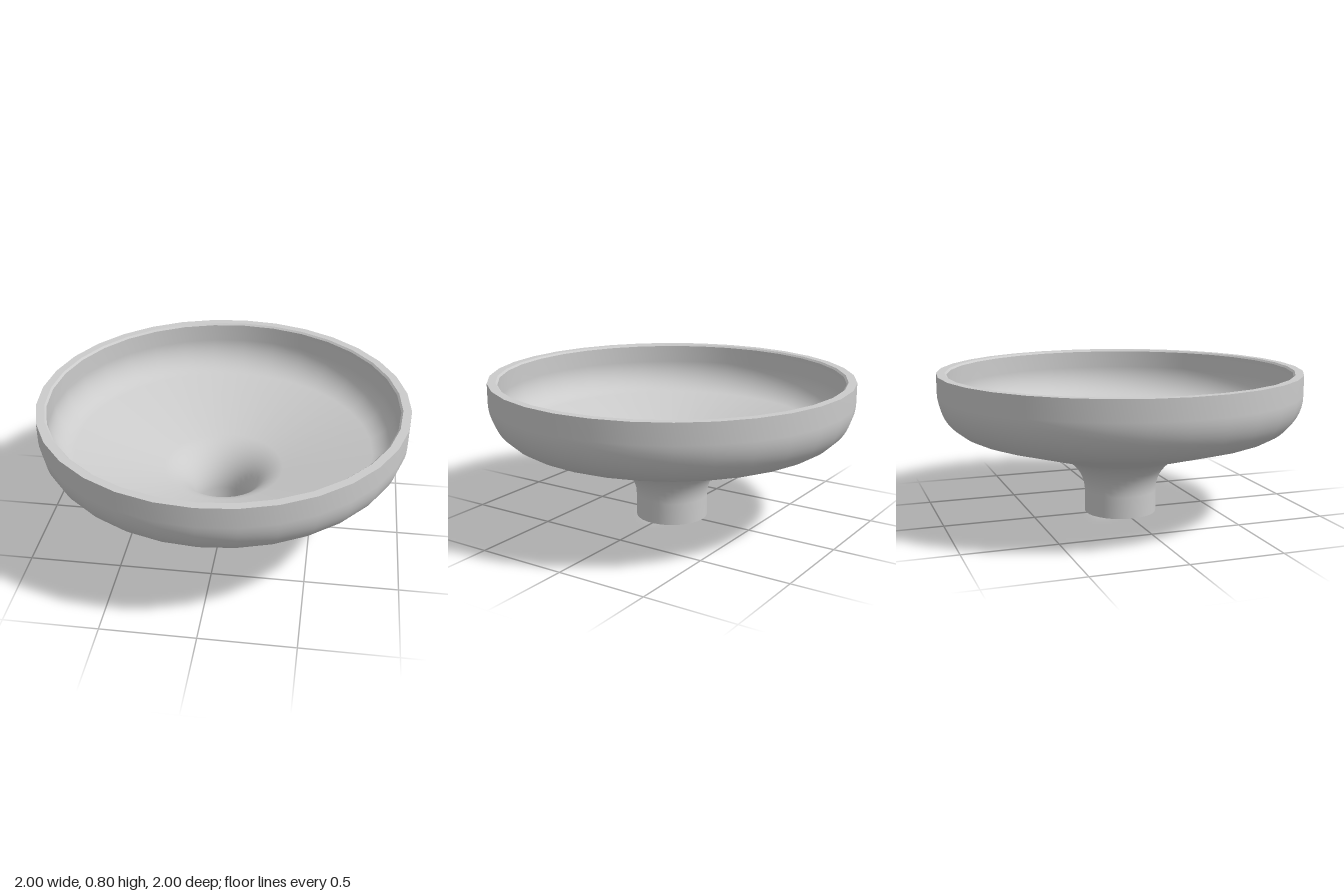
import * as THREE from 'three';

const SEGMENTS = 32;
const SLOPE = 0.299; // cone angle of the bowl floor, in radians
const WALL = 0.055;

// Points on an arc about (cx, cy), from angle a to angle b
function arc(cx, cy, r, a, b, steps = 10) {
  return Array.from({ length: steps + 1 }, (_, i) => {
    const t = a + ((b - a) * i) / steps;
    return new THREE.Vector2(cx + r * Math.cos(t), cy + r * Math.sin(t));
  });
}

// Wall profile from foot to rim, offset inwards by the given thickness
function wallProfile(offset, top) {
  return [
    new THREE.Vector2(0.2 - offset, 0),
    ...arc(0.41, 0.12, 0.21 + offset, Math.PI, Math.PI / 2 + SLOPE),
    ...arc(0.765, 0.69, 0.235 - offset, -Math.PI / 2 + SLOPE, 0),
    new THREE.Vector2(1 - offset, top),
  ];
}

export function createModel() {
  const model = new THREE.Group();
  model.name = 'funnelBowl';
  const material = new THREE.MeshStandardMaterial({ color: 0xcccccc });

  // Separate lathes keep the rim and foot edges sharp
  function addLathe(name, points) {
    const mesh = new THREE.Mesh(new THREE.LatheGeometry(points, SEGMENTS), material);
    mesh.name = name;
    model.add(mesh);
  }
  const ring = (r1, y1, r2, y2) => [new THREE.Vector2(r1, y1), new THREE.Vector2(r2, y2)];

  addLathe('outerWall', wallProfile(0, 0.8));
  addLathe('rim', ring(1, 0.8, 0.955, 0.8));
  addLathe('rimBevel', ring(0.955, 0.8, 1 - WALL, 0.79));
  addLathe('innerWall', wallProfile(WALL, 0.79).reverse());
  addLathe('spoutEnd', ring(0.2 - WALL, 0, 0.2, 0));

  return model;
}
